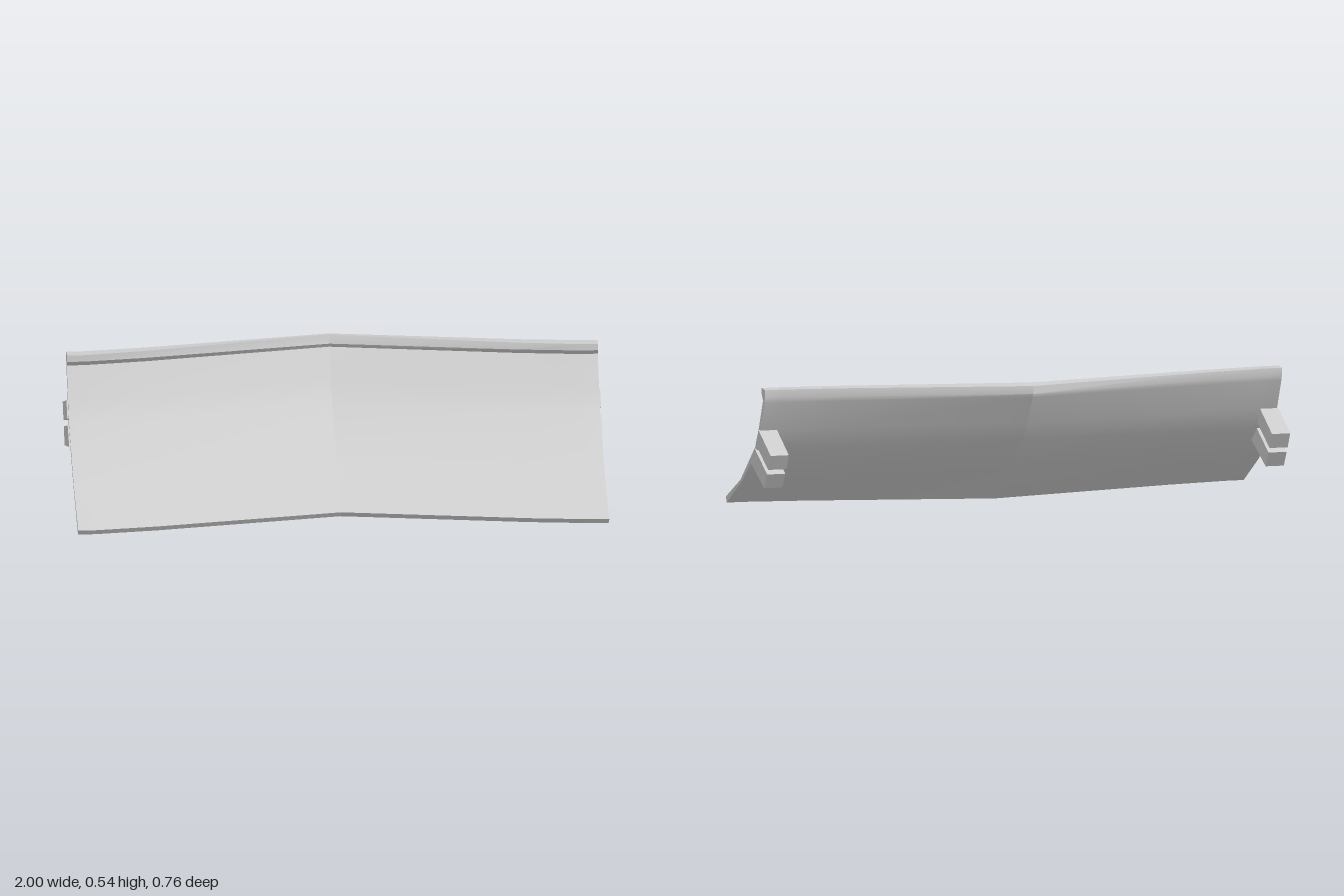
import * as THREE from 'three';
import { toCreasedNormals } from 'three/addons/utils/BufferGeometryUtils.js';

const material = new THREE.MeshStandardMaterial({ color: 0xcccccc });

// Cross-sections as [z, y], bottom to top, at the outer ends and at the middle
const END = {
  front: [[0.38, 0.02], [0.15, 0.125], [-0.08, 0.29], [-0.135, 0.37], [-0.2, 0.485], [-0.18, 0.505], [-0.18, 0.53]],
  back: [[0.365, 0], [0.125, 0.125], [-0.1, 0.278], [-0.155, 0.365], [-0.222, 0.48], [-0.23, 0.5], [-0.23, 0.53]],
};
const MIDDLE = {
  front: [[0.225, 0.02], [0, 0.167], [-0.22, 0.31], [-0.27, 0.385], [-0.345, 0.49], [-0.335, 0.505], [-0.345, 0.537]],
  back: [[0.21, 0], [-0.02, 0.156], [-0.24, 0.305], [-0.29, 0.38], [-0.375, 0.485], [-0.385, 0.5], [-0.383, 0.53]],
};
// [distance from the middle, blend from middle to end section]
const STATIONS = [[0, 0], [0.7, 0.81], [0.93, 1], [0.995, 1]];

// One half of the blade, lofted through the stations and capped at its outer end
function bladeHalf(side) {
  const stations = STATIONS.map(([x, t]) => [x * side, t]).sort((a, b) => a[0] - b[0]);
  const ring = (s) => [...s.front, ...[...s.back].reverse()];
  const a = ring(MIDDLE), b = ring(END), n = a.length;
  const positions = [], index = [];
  for (const [x, t] of stations) {
    a.forEach(([z, y], j) => {
      positions.push(x, THREE.MathUtils.lerp(y, b[j][1], t), THREE.MathUtils.lerp(z, b[j][0], t));
    });
  }
  const quad = (p, q, r, s) => index.push(p, q, r, p, r, s);
  for (let i = 0; i < stations.length - 1; i++) {
    for (let j = 0; j < n; j++) {
      const k = (j + 1) % n;
      quad(i * n + j, (i + 1) * n + j, (i + 1) * n + k, i * n + k);
    }
  }
  const base = side > 0 ? (stations.length - 1) * n : 0;
  for (let k = 0; k < n / 2 - 1; k++) {
    const c = [k, n - 1 - k, n - 2 - k, k + 1].map((v) => base + v);
    if (side < 0) c.reverse();
    quad(...c);
  }
  const geometry = new THREE.BufferGeometry();
  geometry.setAttribute('position', new THREE.Float32BufferAttribute(positions, 3));
  geometry.setIndex(index);
  return toCreasedNormals(geometry, 0.6);
}

// Flat bar given by its [z, y] outline, spanning the outer strip of one side
function mountingBar(outline, side) {
  const shape = new THREE.Shape(outline.map(([z, y]) => new THREE.Vector2(z, y)));
  const geometry = new THREE.ExtrudeGeometry(shape, { depth: 0.07, bevelEnabled: false });
  geometry.rotateY(-Math.PI / 2);
  geometry.translate(side > 0 ? 1 : -0.93, 0, 0);
  return geometry;
}

const BARS = {
  upperBar: [[-0.15, 0.365], [-0.34, 0.3], [-0.3, 0.24], [-0.105, 0.305]],
  lowerBar: [[-0.09, 0.285], [-0.285, 0.22], [-0.24, 0.16], [-0.01, 0.225]],
};

export function createModel() {
  const model = new THREE.Group();
  model.name = 'plowBlade';
  const add = (parent, name, geometry) => {
    const mesh = new THREE.Mesh(geometry, material);
    mesh.name = name;
    parent.add(mesh);
  };
  for (const [label, side] of [['left', 1], ['right', -1]]) {
    add(model, `${label}BladeHalf`, bladeHalf(side));
    // Pair of rear mounting bars
    const bracket = new THREE.Group();
    bracket.name = `${label}Bracket`;
    for (const [name, outline] of Object.entries(BARS)) add(bracket, name, mountingBar(outline, side));
    model.add(bracket);
  }
  return model;
}
